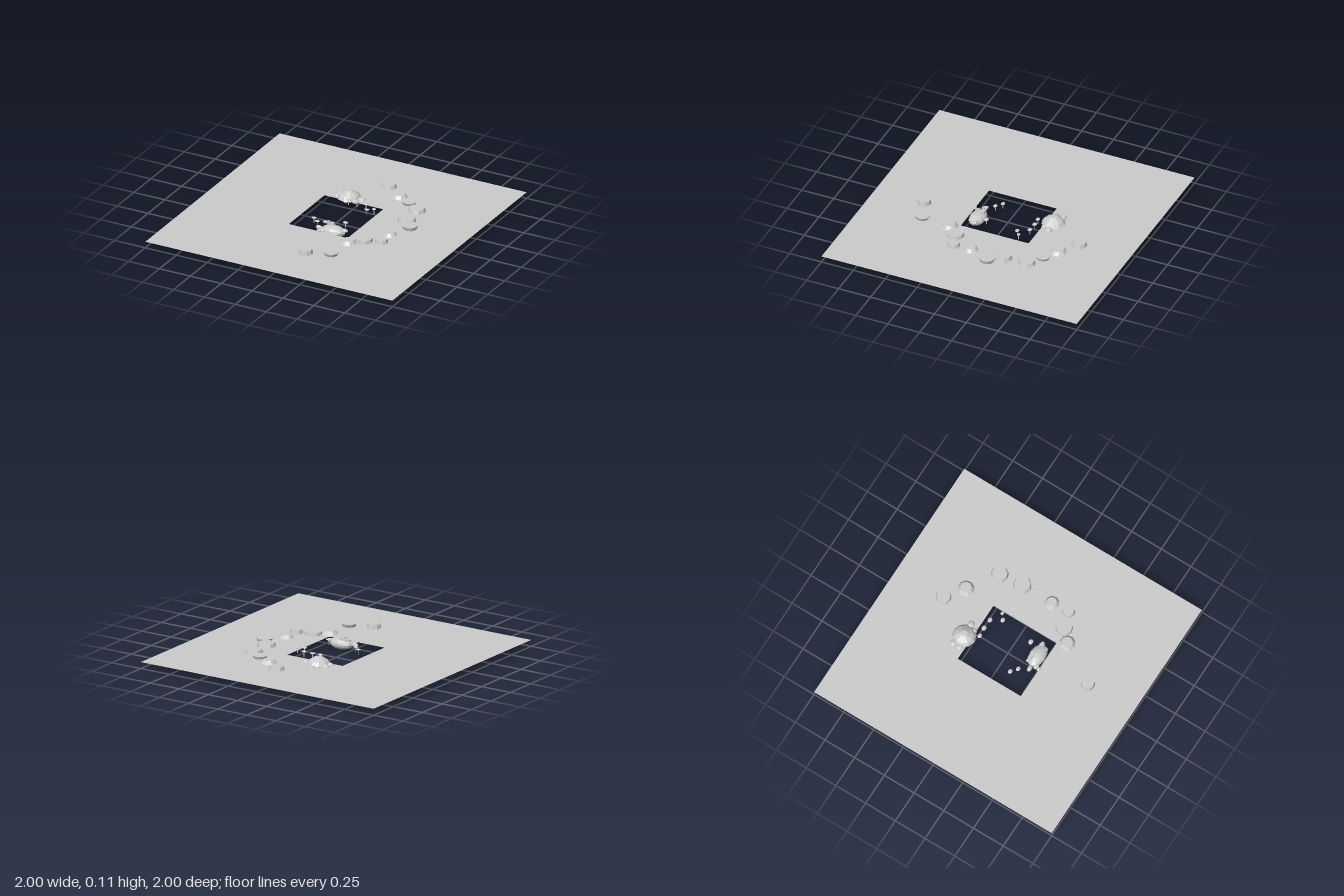
import * as THREE from 'three';

const GROUND = 0.052;

export function createModel() {
  const root = new THREE.Group();
  const mat = new THREE.MeshStandardMaterial({ color: 0xcccccc, flatShading: true });
  const sheet = new THREE.MeshStandardMaterial({ color: 0xcccccc, side: THREE.DoubleSide });

  const add = (name, geo, x, y, z, parent = root, material = mat) => {
    const m = new THREE.Mesh(geo, material);
    m.name = name;
    m.position.set(x, y, z);
    parent.add(m);
    return m;
  };
  const group = (name) => {
    const g = new THREE.Group();
    g.name = name;
    root.add(g);
    return g;
  };
  // low-poly ellipsoid
  const blob = (name, x, y, z, rx, ry, rz, parent, w = 8, h = 6) =>
    add(name, new THREE.SphereGeometry(1, w, h).scale(rx, ry, rz), x, y, z, parent);

  // ground sheet with a rectangular pond opening
  const shape = new THREE.Shape([[-1, -1], [1, -1], [1, 1], [-1, 1]].map(p => new THREE.Vector2(...p)));
  shape.holes.push(new THREE.Path(
    [[-0.24, -0.26], [-0.24, 0.27], [0.235, 0.27], [0.235, -0.26]].map(p => new THREE.Vector2(...p))));
  add('ground', new THREE.ShapeGeometry(shape).rotateX(-Math.PI / 2), 0, GROUND, 0, root, sheet);

  // arc of faceted stones: x, z, bottom radius, top radius, top height
  const stones = group('stoneArc');
  [
    [0.10, -0.605, 0.06, 0.05, 0.08],
    [0.24, -0.505, 0.068, 0.042, 0.077],
    [0.355, -0.44, 0.043, 0.055, 0.073],
    [0.46, -0.36, 0.068, 0.056, 0.08],
    [0.475, -0.18, 0.072, 0.06, 0.08],
    [0.55, -0.09, 0.048, 0.06, 0.08],
    [0.475, 0.07, 0.06, 0.035, 0.076],
    [0.48, 0.205, 0.05, 0.042, 0.08],
    [0.36, 0.245, 0.065, 0.059, 0.076],
    [0.275, 0.325, 0.066, 0.04, 0.078],
    [0.26, 0.55, 0.044, 0.057, 0.075],
    [0.09, 0.615, 0.053, 0.046, 0.085],
  ].forEach(([x, z, rb, rt, top]) => {
    const h = top - 0.045;
    add('stone', new THREE.CylinderGeometry(rt, rb, h, 9), x, 0.045 + h / 2, z, stones);
  });

  // faceted mound on the pond's back edge
  const mound = group('backMound');
  const profile = [[0, 0.03], [0.055, 0.035], [0.088, 0.055], [0.07, 0.08], [0.025, 0.108], [0, 0.11]]
    .map(p => new THREE.Vector2(...p));
  add('mound', new THREE.LatheGeometry(profile, 10), -0.07, 0, -0.325, mound);
  [[-0.155, -0.36, 0.03], [-0.155, -0.305, 0.028], [0.027, -0.33, 0.033],
    [-0.065, -0.265, 0.024], [0.0, -0.285, 0.026]].forEach(([x, z, r]) =>
    blob('pebble', x, GROUND, z, r, 0.018, r * 0.85, mound));

  // rounded boulder hanging into the pond at the front
  const boulder = group('frontBoulder');
  blob('boulder', 0.085, 0.046, 0.195, 0.095, 0.042, 0.06, boulder, 12, 8);
  blob('sidePebble', 0.165, 0.06, 0.18, 0.03, 0.014, 0.02, boulder);
  blob('sidePebble', 0.145, 0.055, 0.222, 0.025, 0.014, 0.018, boulder);
  blob('sidePebble', -0.028, 0.05, 0.2, 0.028, 0.016, 0.017, boulder);
  blob('sidePebble', 0.015, 0.05, 0.23, 0.03, 0.014, 0.02, boulder);
  blob('sidePebble', 0.0, 0.055, 0.258, 0.018, 0.01, 0.014, boulder);
  add('slab', new THREE.BoxGeometry(0.085, 0.01, 0.026), 0.035, 0.088, 0.167, boulder);
  add('slabPost', new THREE.CylinderGeometry(0.008, 0.008, 0.05, 6), 0.035, 0.082, 0.172, boulder);

  // small flat caps on thin stems around the water
  const plants = group('pondPlants');
  [[-0.125, 0.097, 0.02], [-0.078, 0.135, 0.02], [0.135, 0.107, 0.022],
    [-0.02, -0.225, 0.02], [0.045, -0.23, 0.022], [0.12, -0.227, 0.021],
    [0.168, -0.15, 0.02], [0.21, -0.18, 0.016]].forEach(([x, z, r]) => {
    const inFront = z > 0 && x < 0;
    const y = inFront ? 0.06 : 0.086;
    blob('plantCap', x, y, z, r, 0.006, r * 0.8, plants);
    add('plantStem', new THREE.CylinderGeometry(0.003, 0.003, 0.04, 5), x, y - 0.02, z, plants);
  });

  return root;
}
